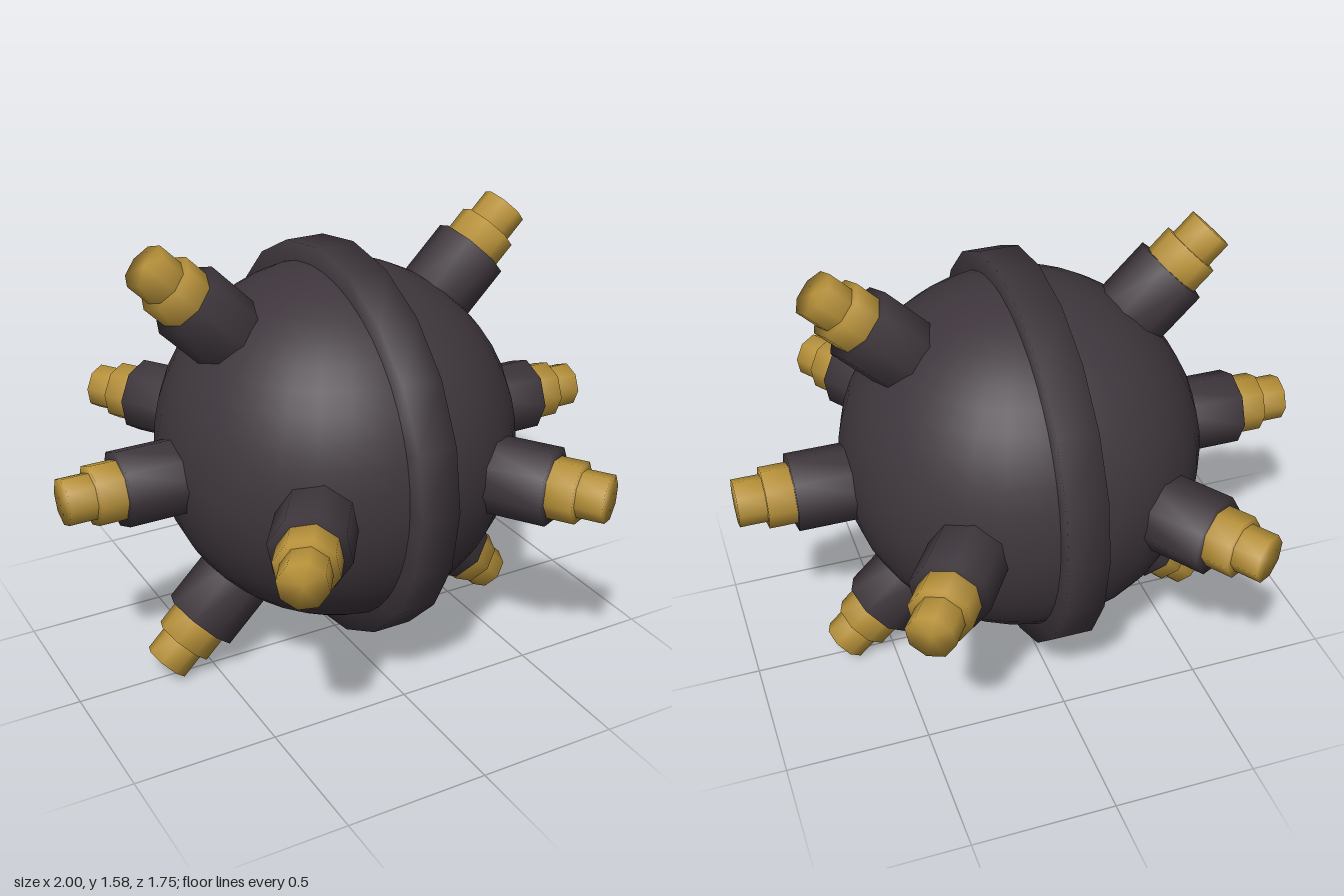
import * as THREE from 'three';
import { mergeVertices } from 'three/addons/utils/BufferGeometryUtils.js';

const dark = new THREE.MeshStandardMaterial({ color: 0x3e363c, name: 'darkIron' });
const gold = new THREE.MeshStandardMaterial({ color: 0xb8923a, name: 'brass' });

// weld all corners so normals blend over the edges
function soften(geometry) {
  geometry.deleteAttribute('normal');
  geometry.deleteAttribute('uv');
  const welded = mergeVertices(geometry, 1e-4);
  welded.computeVertexNormals();
  return welded;
}

function part(name, geometry, material) {
  const mesh = new THREE.Mesh(geometry, material);
  mesh.name = name;
  return mesh;
}

// eight-sided rod along +y, between two heights
function rod(radius, from, to) {
  const g = new THREE.CylinderGeometry(radius, radius, to - from, 8);
  g.translate(0, (from + to) / 2, 0);
  return soften(g);
}

export function createModel() {
  const model = new THREE.Group();
  model.name = 'seaMine';
  const middle = 0.79;

  // round body
  const body = part('body', new THREE.SphereGeometry(0.63, 32, 24), dark);
  body.position.y = middle;
  model.add(body);

  // raised band around the body, in the x = 0 plane
  const profile = [[0.58, -0.07], [0.697, -0.07], [0.697, 0.07], [0.58, 0.07]]
    .map(([x, y]) => new THREE.Vector2(x, y));
  const band = part('band', soften(new THREE.LatheGeometry(profile, 20)), dark);
  band.rotation.z = Math.PI / 2;
  band.position.y = middle;
  model.add(band);

  // stepped detonator horns; each ends at local y = 1
  const socketShape = rod(0.135, 0.5, 0.81);
  const collarShape = rod(0.106, 0.75, 0.905);
  const tipShape = rod(0.082, 0.85, 1.0);
  const up = new THREE.Vector3(0, 1, 0);

  function addHorn(tip, direction) {
    const horn = new THREE.Group();
    horn.name = 'horn';
    horn.add(
      part('hornSocket', socketShape, dark),
      part('hornCollar', collarShape, gold),
      part('hornTip', tipShape, gold),
    );
    const dir = new THREE.Vector3(...direction).normalize();
    horn.quaternion.setFromUnitVectors(up, dir);
    horn.position.set(...tip).sub(dir);
    model.add(horn);
  }

  for (const sx of [-1, 1]) {
    addHorn([sx, 0.777, 0], [sx, 0, 0]);
    for (const s of [-1, 1]) {
      // upper and lower horns
      addHorn([sx * 0.675, middle + s * 0.732, 0], [sx, s, 0]);
      // front and back horns
      addHorn([sx * 0.56, 0.777, s * 0.83], [sx * 0.56, 0, s * 0.83]);
    }
  }
  return model;
}
